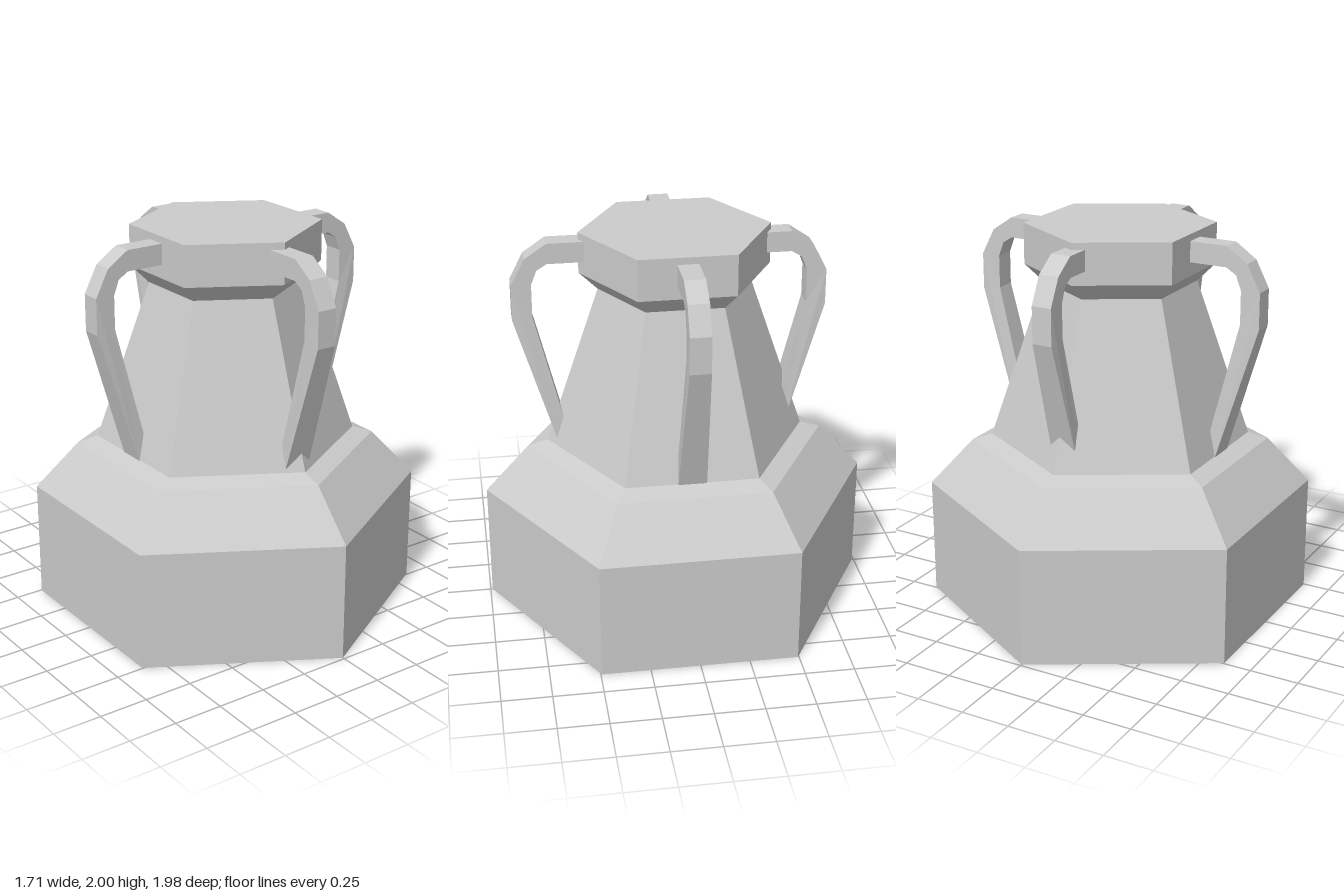
import * as THREE from 'three';

const material = new THREE.MeshStandardMaterial({ color: 0xcccccc, flatShading: true });
const toPoints = (list) => list.map(([x, y]) => new THREE.Vector2(x, y));

// Six-sided body, closed at the base and the lid, corners on the z axis
function createBody() {
  const profile = toPoints([
    [0, 0], [0.99, 0], [0.99, 0.61], [0.768, 0.85], [0.665, 0.883],
    [0.387, 1.7], [0.48, 1.79], [0.48, 2], [0, 2],
  ]);
  const body = new THREE.Mesh(new THREE.LatheGeometry(profile, 6), material);
  body.name = 'body';
  return body;
}

// Handle outline reaching out along +x, extruded across z
function createHandleGeometry() {
  const outline = toPoints([
    [0.36, 1.965], [0.36, 1.86], [0.61, 1.86], [0.662, 1.828], [0.69, 1.755],
    [0.69, 1.585], [0.55, 1.02], [0.58, 0.88],
    [0.79, 1.57], [0.79, 1.755], [0.72, 1.89], [0.61, 1.965],
  ]);
  const geometry = new THREE.ExtrudeGeometry(new THREE.Shape(outline), { depth: 0.104, bevelEnabled: false });
  geometry.translate(0, 0, -0.052);
  // The lower arm widens towards its foot
  const pos = geometry.attributes.position;
  for (let i = 0; i < pos.count; i++) {
    const drop = Math.max(0, (1.57 - pos.getY(i)) / 0.69);
    pos.setZ(i, pos.getZ(i) * (1 + 0.37 * drop));
  }
  geometry.computeVertexNormals();
  return geometry;
}

export function createModel() {
  const model = new THREE.Group();
  model.name = 'jar';
  model.add(createBody());

  // Four handles; the front and back ones sit slightly forward
  const geometry = createHandleGeometry();
  const handles = [
    ['leftHandle', 0, 0, 0],
    ['rightHandle', Math.PI, 0, 0],
    ['frontHandle', -Math.PI / 2, -0.01, 0.027],
    ['backHandle', Math.PI / 2, -0.005, 0.03],
  ];
  for (const [name, angle, x, z] of handles) {
    const handle = new THREE.Mesh(geometry, material);
    handle.name = name;
    handle.rotation.y = angle;
    handle.position.set(x, 0, z);
    model.add(handle);
  }
  return model;
}
